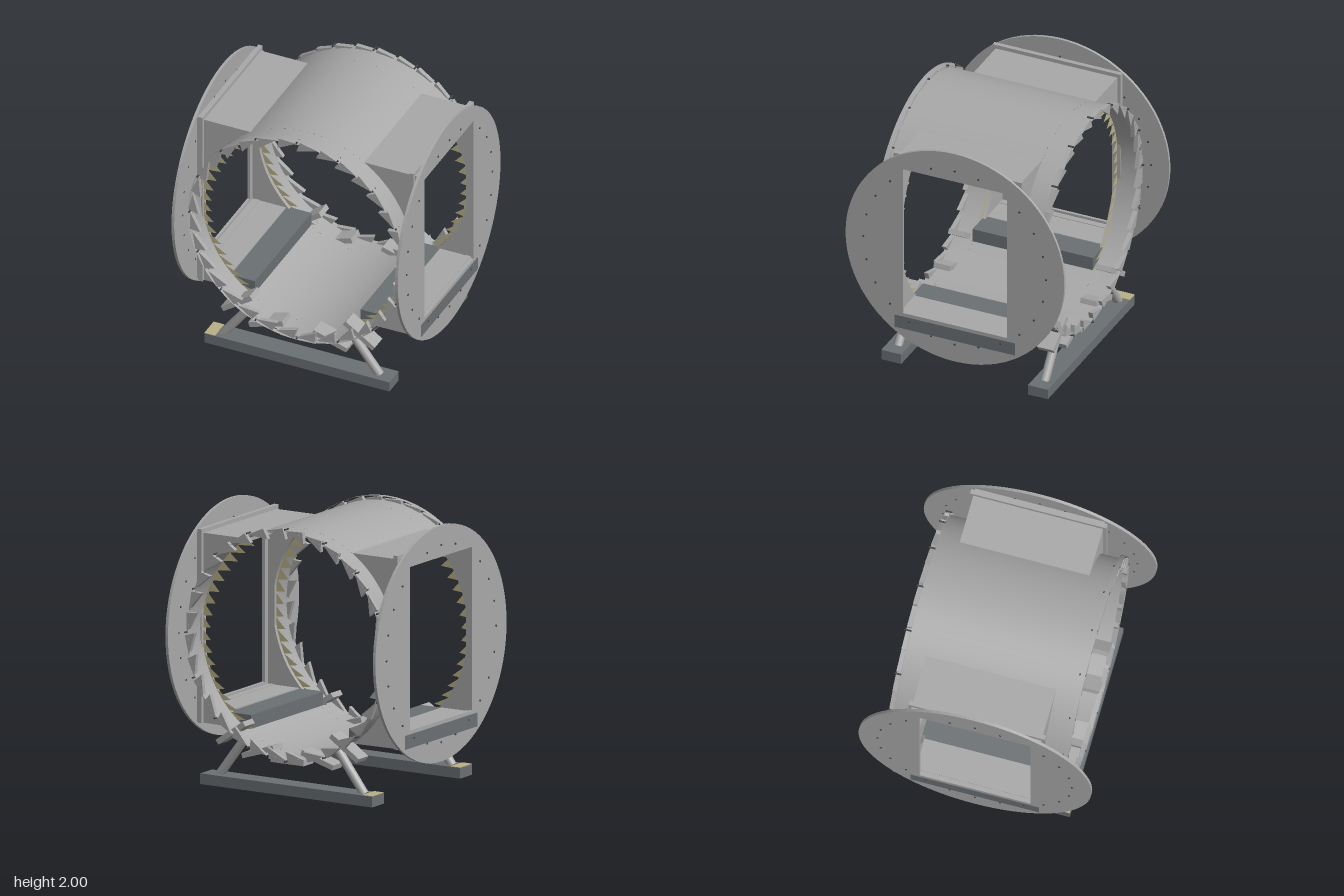
import * as THREE from 'three';

const DOUBLE = THREE.DoubleSide;
const material = (name, color, side = THREE.FrontSide) => {
  const m = new THREE.MeshStandardMaterial({ color, side });
  m.name = name;
  return m;
};

export function createModel() {
  const steel = material('steel grey', 0xa8a8a8, DOUBLE);
  const slate = material('dark slate', 0x6b7073);
  const boltDark = material('bolt dark', 0x45464c);
  const tan = material('tan', 0xb8b087, DOUBLE);

  const model = new THREE.Group();
  const R = 0.845, CY = 1.12, HALF = THREE.MathUtils.degToRad(33), OPEN = Math.PI / 2 - HALF;

  const add = (parent, name, geo, mat, x = 0, y = 0, z = 0) => {
    const mesh = new THREE.Mesh(geo, mat);
    mesh.name = name;
    mesh.position.set(x, y, z);
    parent.add(mesh);
    return mesh;
  };
  const box = (parent, name, mat, x0, x1, y0, y1, z0, z1) =>
    add(parent, name, new THREE.BoxGeometry(x1 - x0, y1 - y0, z1 - z0), mat,
      (x0 + x1) / 2, (y0 + y1) / 2, (z0 + z1) / 2);
  const polygon = (pts) => new THREE.Shape(pts.map(([x, y]) => new THREE.Vector2(x, y)));
  const extrude = (shape, depth) =>
    new THREE.ExtrudeGeometry(shape, { depth, bevelEnabled: false, curveSegments: 40 });
  const polar = (r, a) => [r * Math.cos(a), r * Math.sin(a)];

  // Open cylinder around the z axis; angle 0 is the bottom
  const shell = (name, r, z0, z1, start = 0, length = Math.PI * 2, segments = 64) => {
    const geo = new THREE.CylinderGeometry(r, r, z1 - z0, segments, 1, true, start, length);
    geo.rotateX(Math.PI / 2);
    add(drum, name, geo, steel, 0, 0, (z0 + z1) / 2);
  };

  // Drum: two end bands joined by a roof and a floor, open on both sides
  const drum = new THREE.Group();
  drum.name = 'drum';
  drum.position.y = CY;
  model.add(drum);
  shell('frontBand', R, 0.49, 0.67);
  shell('backBand', R, -0.68, -0.49);
  shell('drumFloor', R, -0.49, 0.49, -HALF, 2 * HALF, 16);
  shell('drumRoof', R, -0.49, 0.49, Math.PI - HALF, 2 * HALF, 16);
  shell('frontRim', 0.875, 0.641, 0.677);

  // Saw teeth around both drum ends
  const step = Math.PI / 16;
  for (let i = 0; i < 32; i++) {
    const a = Math.PI / 2 + i * step;
    const tooth = extrude(polygon([polar(0.872, a + step * 0.85), polar(0.855, a), polar(0.79, a + step)]), 0.034);
    add(drum, 'frontTooth', tooth, steel, 0, 0, 0.642);
    add(drum, 'backTooth', tooth, steel, 0, 0, -0.679);
  }

  // Rim bolts at both ends
  const rimBolt = new THREE.CylinderGeometry(0.007, 0.007, 0.05, 8).rotateX(Math.PI / 2);
  for (let i = 0; i < 16; i++) {
    const [x, y] = polar(0.865, i * Math.PI / 8);
    add(drum, 'rimBolt', rimBolt, boltDark, x, y, 0.655);
    add(drum, 'rimBolt', rimBolt, boltDark, x, y, -0.664);
  }

  // One side port: tunnel, collar, disc, sill and bolts, facing +x
  const makePort = (name) => {
    const port = new THREE.Group();
    port.name = name;
    port.position.y = CY;

    // Tunnel cheeks, cut to follow the drum
    const cheek = new THREE.Shape();
    cheek.moveTo(0.89, -0.705);
    cheek.lineTo(0.89, 0.71);
    cheek.lineTo(...polar(R, OPEN));
    cheek.absarc(0, 0, R, OPEN, -OPEN, true);
    cheek.closePath();
    const cheekGeo = extrude(cheek, 0.03);
    add(port, 'tunnelCheek', cheekGeo, steel, 0, 0, 0.46);
    add(port, 'tunnelCheek', cheekGeo, steel, 0, 0, -0.49);
    box(port, 'tunnelRoof', steel, 0.455, 0.89, 0.685, 0.71, -0.49, 0.49);
    box(port, 'tunnelFloor', steel, 0.62, 0.89, -0.602, -0.594, -0.46, 0.46);
    box(port, 'sill', slate, 0.425, 0.914, -0.705, -0.602, -0.485, 0.485);

    // Collar and window disc are plates standing across x
    const collar = polygon([[-0.515, -0.705], [0.515, -0.705], [0.515, 0.74], [-0.515, 0.74]]);
    collar.holes.push(polygon([[-0.46, -0.59], [-0.46, 0.68], [0.46, 0.68], [0.46, -0.59]]));
    add(port, 'collar', extrude(collar, 0.035).rotateY(Math.PI / 2), steel, 0.832);
    const disc = new THREE.Shape().absarc(0, 0, 0.88, 0, Math.PI * 2);
    disc.holes.push(polygon([[-0.419, -0.574], [-0.419, 0.646], [0.419, 0.646], [0.419, -0.574]]));
    add(port, 'windowDisc', extrude(disc, 0.022).rotateY(Math.PI / 2), steel, 0.889);

    // Disc bolts, leaving out the two that would fall at the window corners
    const boltGeo = new THREE.CylinderGeometry(0.008, 0.008, 0.03, 8).rotateZ(Math.PI / 2);
    for (let i = 0; i < 24; i++) {
      if (i === 4 || i === 8) continue;
      const [z, y] = polar(0.735, i * Math.PI / 12);
      add(port, 'discBolt', boltGeo, boltDark, 0.902, y, z);
    }

    // Tan teeth along the arched tunnel edges
    const count = 18, da = 2 * OPEN / count;
    for (let i = 0; i < count; i++) {
      const [x0, y0] = polar(R, -OPEN + i * da);
      const [x1, y1] = polar(R, -OPEN + (i + 1) * da);
      const tip = [Math.min(x0, x1) - 0.07, y0 + 0.01];
      const geo = new THREE.ShapeGeometry(polygon([[x0, y0], [x1, y1], tip]));
      for (const z of [-0.488, 0.488]) add(port, 'archTooth', geo, tan, 0, 0, z);
    }
    model.add(port);
    return port;
  };
  makePort('leftPort');
  makePort('rightPort').rotation.y = Math.PI;

  // Two stands: ground beam, slanted struts and cradle plates
  const up = new THREE.Vector3(0, 1, 0);
  for (const z of [0.59, -0.59]) {
    const stand = new THREE.Group();
    stand.name = z > 0 ? 'frontStand' : 'backStand';
    stand.position.z = z;
    model.add(stand);
    box(stand, 'groundBeam', slate, -0.745, 0.745, 0, 0.08, -0.08, 0.08);
    box(stand, 'beamPatch', tan, -0.745, -0.66, 0.08, 0.084, -0.08, 0.08);
    for (const s of [-1, 1]) {
      const a = new THREE.Vector3(s * 0.63, 0.07, 0), b = new THREE.Vector3(s * 0.4, 0.375, 0);
      const dir = b.clone().sub(a);
      const strut = add(stand, 'strut', new THREE.CylinderGeometry(0.034, 0.034, dir.length(), 24), steel);
      strut.position.copy(a).add(b).multiplyScalar(0.5);
      strut.quaternion.setFromUnitVectors(up, dir.normalize());
    }
    for (let i = -2; i <= 2; i++) {
      const t = i * THREE.MathUtils.degToRad(17.3);
      const plate = add(stand, 'cradlePlate', new THREE.BoxGeometry(0.285, 0.04, 0.13), steel,
        0.867 * Math.sin(t), CY - 0.867 * Math.cos(t), 0);
      plate.rotation.z = -t;
    }
  }
  return model;
}
